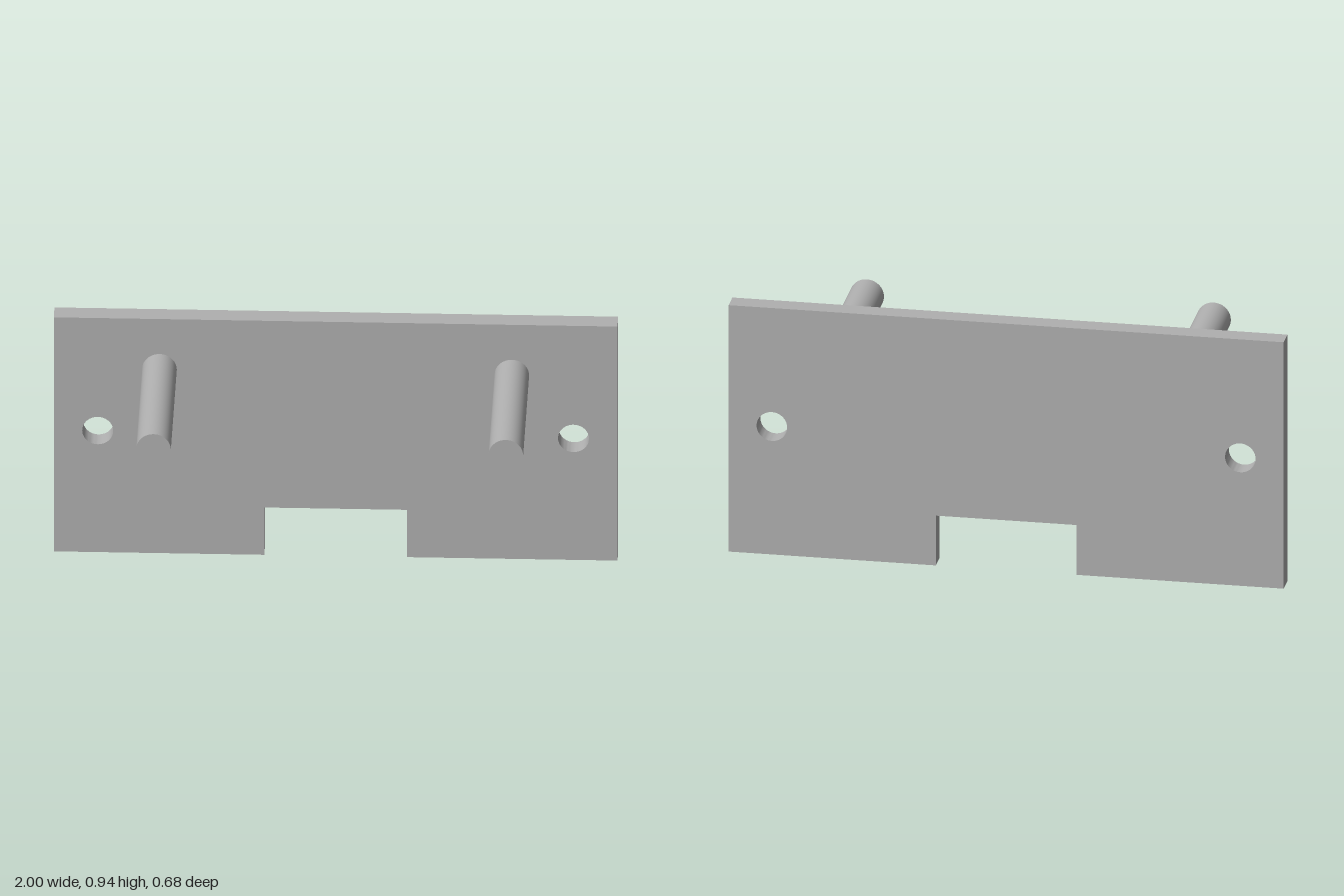
import * as THREE from 'three';
import { toCreasedNormals } from 'three/addons/utils/BufferGeometryUtils.js';

const HEIGHT = 0.94, BACK = -0.34, PLATE_FRONT = -0.265, PEG_END = 0.34;

export function createModel() {
  const model = new THREE.Group();
  model.name = 'pegPlate';
  const grey = new THREE.MeshStandardMaterial({ color: 0xb0b0b0 });
  grey.name = 'grey';

  // Plate outline with a notch in the bottom edge
  const outline = new THREE.Shape([
    [-1, 0], [-0.253, 0], [-0.253, 0.19], [0.253, 0.19],
    [0.253, 0], [1, 0], [1, HEIGHT], [-1, HEIGHT],
  ].map(([x, y]) => new THREE.Vector2(x, y)));

  // Screw holes near both ends
  for (const side of [-1, 1]) {
    const hole = new THREE.Path();
    hole.absarc(side * 0.844, 0.488, 0.055, 0, Math.PI * 2, true);
    outline.holes.push(hole);
  }
  const plateGeometry = new THREE.ExtrudeGeometry(outline, {
    depth: PLATE_FRONT - BACK, bevelEnabled: false, curveSegments: 24,
  });
  const plate = new THREE.Mesh(toCreasedNormals(plateGeometry, 0.6), grey);
  plate.name = 'plate';
  plate.position.z = BACK;
  model.add(plate);

  // Round pegs standing out from the front face
  const length = PEG_END - PLATE_FRONT;
  const pegGeometry = new THREE.CylinderGeometry(0.0615, 0.0615, length, 48);
  pegGeometry.rotateX(Math.PI / 2);
  for (const [name, x] of [['leftPeg', 0.625], ['rightPeg', -0.625]]) {
    const peg = new THREE.Mesh(pegGeometry, grey);
    peg.name = name;
    peg.position.set(x, 0.738, PLATE_FRONT + length / 2);
    model.add(peg);
  }
  return model;
}
